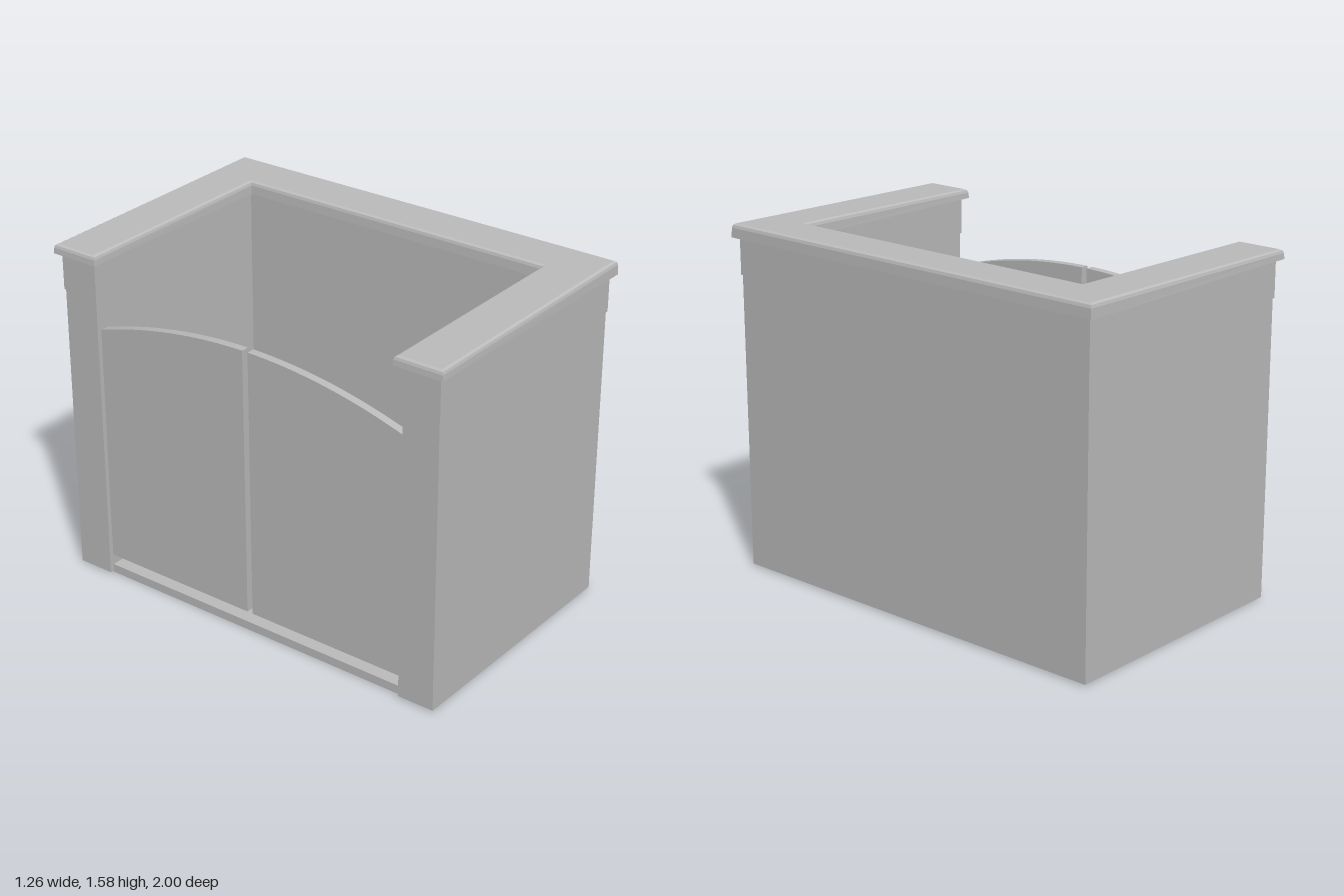
import * as THREE from 'three';

const grey = new THREE.MeshStandardMaterial({ color: 0xbcbcbc, side: THREE.DoubleSide });
grey.name = 'plain grey';

// U-shaped plan, open towards -x, grown by offset o; points are (x, -z)
function plan(o) {
  const X = 0.6 + o, Z = 0.97 + o, ix = 0.43 - o, iz = 0.797 - o;
  return [[-X, -Z], [X, -Z], [X, Z], [-X, Z], [-X, iz], [ix, iz], [ix, -iz], [-X, -iz]];
}

// Stacks U-shaped rings of [offset, y, tilt along x] and optionally closes the ends
function uSolid(name, rings, closeBottom, closeTop) {
  const pos = [], index = [];
  for (const [o, y, tilt = 0] of rings) {
    for (const [x, w] of plan(o)) pos.push(x, y + tilt * x, -w);
  }
  for (let r = 0; r < rings.length - 1; r++) {
    for (let i = 0; i < 8; i++) {
      const a = r * 8 + i, b = r * 8 + (i + 1) % 8;
      index.push(a, b, b + 8, a, b + 8, a + 8);
    }
  }
  const last = (rings.length - 1) * 8;
  for (const [a, b, c, d] of [[0, 1, 6, 7], [1, 2, 5, 6], [2, 3, 4, 5]]) {
    if (closeTop) index.push(last + a, last + b, last + c, last + a, last + c, last + d);
    if (closeBottom) index.push(a, c, b, a, d, c);
  }
  const indexed = new THREE.BufferGeometry();
  indexed.setAttribute('position', new THREE.Float32BufferAttribute(pos, 3));
  indexed.setIndex(index);
  const geometry = indexed.toNonIndexed();
  geometry.computeVertexNormals();
  const mesh = new THREE.Mesh(geometry, grey);
  mesh.name = name;
  return mesh;
}

// Door leaf between z0 and z1 whose top follows one arch shared by both leaves
function door(name, z0, z1) {
  const archY = z => 1.33 - 0.13 * (z / 0.8) ** 2;
  const bottom = 0.09, steps = 16;
  const shape = new THREE.Shape();
  shape.moveTo(-z0, bottom);
  for (let i = 0; i <= steps; i++) {
    const z = z0 + (z1 - z0) * i / steps;
    shape.lineTo(-z, archY(z));
  }
  shape.lineTo(-z1, bottom);
  shape.closePath();
  const geometry = new THREE.ExtrudeGeometry(shape, { depth: 0.038, bevelEnabled: false });
  geometry.rotateY(Math.PI / 2); // shape x becomes -z, depth becomes x
  geometry.translate(-0.578, 0, 0);
  const mesh = new THREE.Mesh(geometry, grey);
  mesh.name = name;
  return mesh;
}

export function createModel() {
  const model = new THREE.Group();
  model.name = 'enclosure';

  // Hollow walls, open underneath
  model.add(uSolid('walls', [[0, 0.008], [0, 1.36]], false, false));

  // Slightly proud band below the top
  model.add(uSolid('band', [[0.005, 1.352], [0.005, 1.522]], true, false));

  // Overhanging coping with softened upper edge and slightly tilted top
  model.add(uSolid('coping', [
    [0.03, 1.518], [0.028, 1.552, 0.014], [0.024, 1.564, 0.015], [0.014, 1.57, 0.016],
  ], true, true));

  // Floor slab
  const floor = new THREE.Mesh(new THREE.BoxGeometry(1.025, 0.04, 1.64), grey);
  floor.position.set(-0.0655, 0.02, 0);
  floor.name = 'floor';
  model.add(floor);

  // Pair of arched doors
  model.add(door('backDoor', -0.81, -0.018));
  model.add(door('frontDoor', 0.01, 0.81));

  return model;
}
